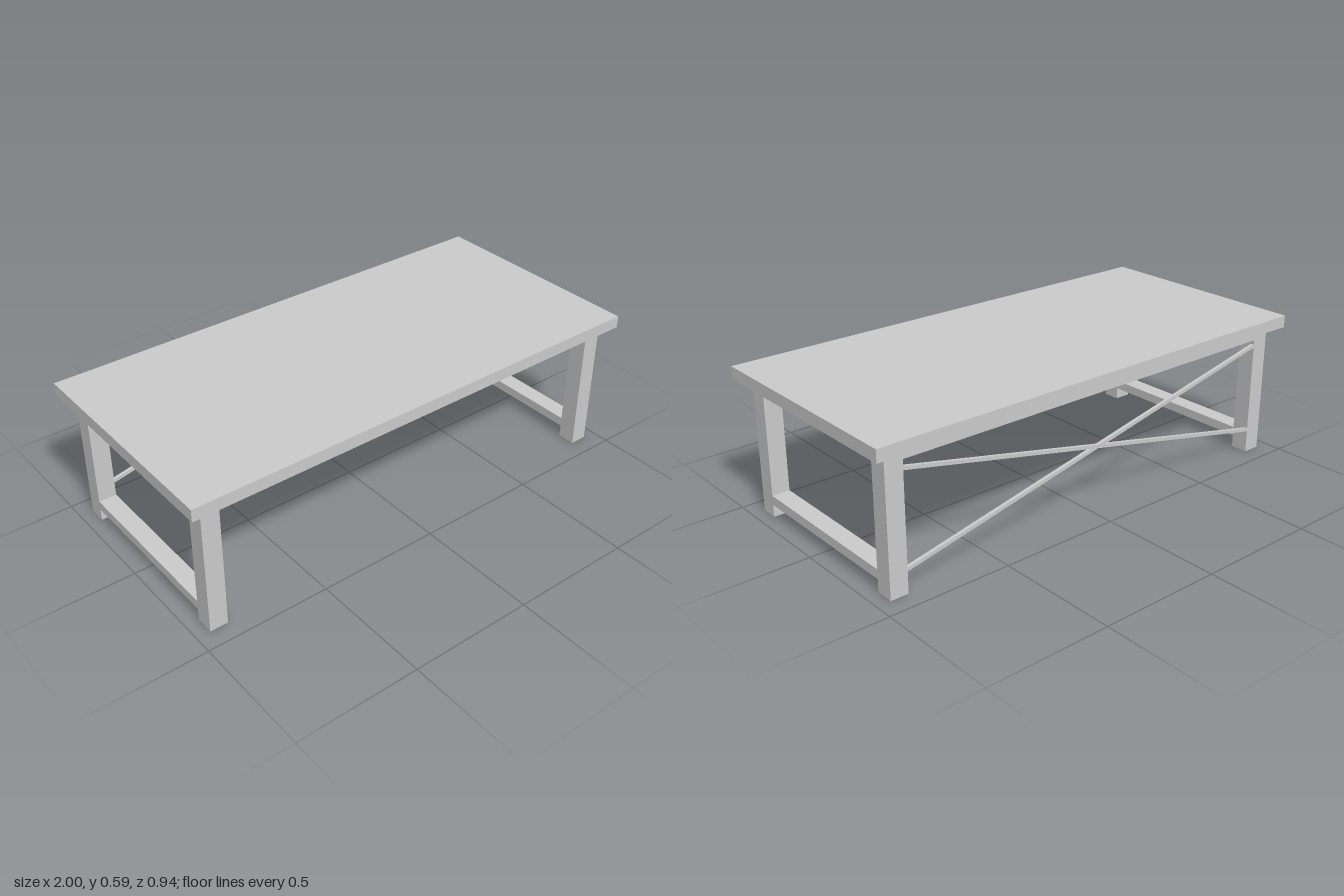
import * as THREE from 'three';

export function createModel() {
  const table = new THREE.Group();
  table.name = 'table';
  const material = new THREE.MeshStandardMaterial({ color: 0xcccccc });

  const addBox = (name, w, h, d, x, y, z) => {
    const mesh = new THREE.Mesh(new THREE.BoxGeometry(w, h, d), material);
    mesh.name = name;
    mesh.position.set(x, y, z);
    table.add(mesh);
    return mesh;
  };

  const post = 0.073; // leg and rail thickness
  const legX = 0.908, legZ = 0.388;
  const legTop = 0.54, railBottom = 0.5;
  const spanX = 2 * legX - post, spanZ = 2 * legZ - post;

  addBox('tableTop', 2, 0.05, 0.94, 0, 0.565, 0);

  // Legs
  for (const sx of [1, -1]) {
    for (const sz of [1, -1]) {
      const name = (sz > 0 ? 'front' : 'back') + (sx > 0 ? 'Left' : 'Right') + 'Leg';
      addBox(name, post, legTop, post, sx * legX, legTop / 2, sz * legZ);
    }
  }

  // Rails under the top
  const railH = legTop - railBottom, railY = (legTop + railBottom) / 2;
  for (const s of [1, -1]) {
    addBox(s > 0 ? 'frontRail' : 'backRail', spanX, railH, post, 0, railY, s * legZ);
    addBox(s > 0 ? 'leftRail' : 'rightRail', post, railH, spanZ, s * legX, railY, 0);
    // Low stretcher between the legs at each end
    addBox(s > 0 ? 'leftStretcher' : 'rightStretcher', post, 0.038, spanZ, s * legX, 0.07, 0);
  }

  // Thin crossed braces between the back legs
  const bar = 0.014;
  const braceZ = -legZ - post / 2 + bar / 2;
  const addBrace = (name, y0, y1) => {
    const brace = addBox(name, Math.hypot(spanX, y1 - y0), bar, bar, 0, (y0 + y1) / 2, braceZ);
    brace.rotation.z = Math.atan2(y1 - y0, spanX);
  };
  addBrace('risingBrace', 0.1, 0.468);
  addBrace('fallingBrace', 0.475, 0.093);

  return table;
}
